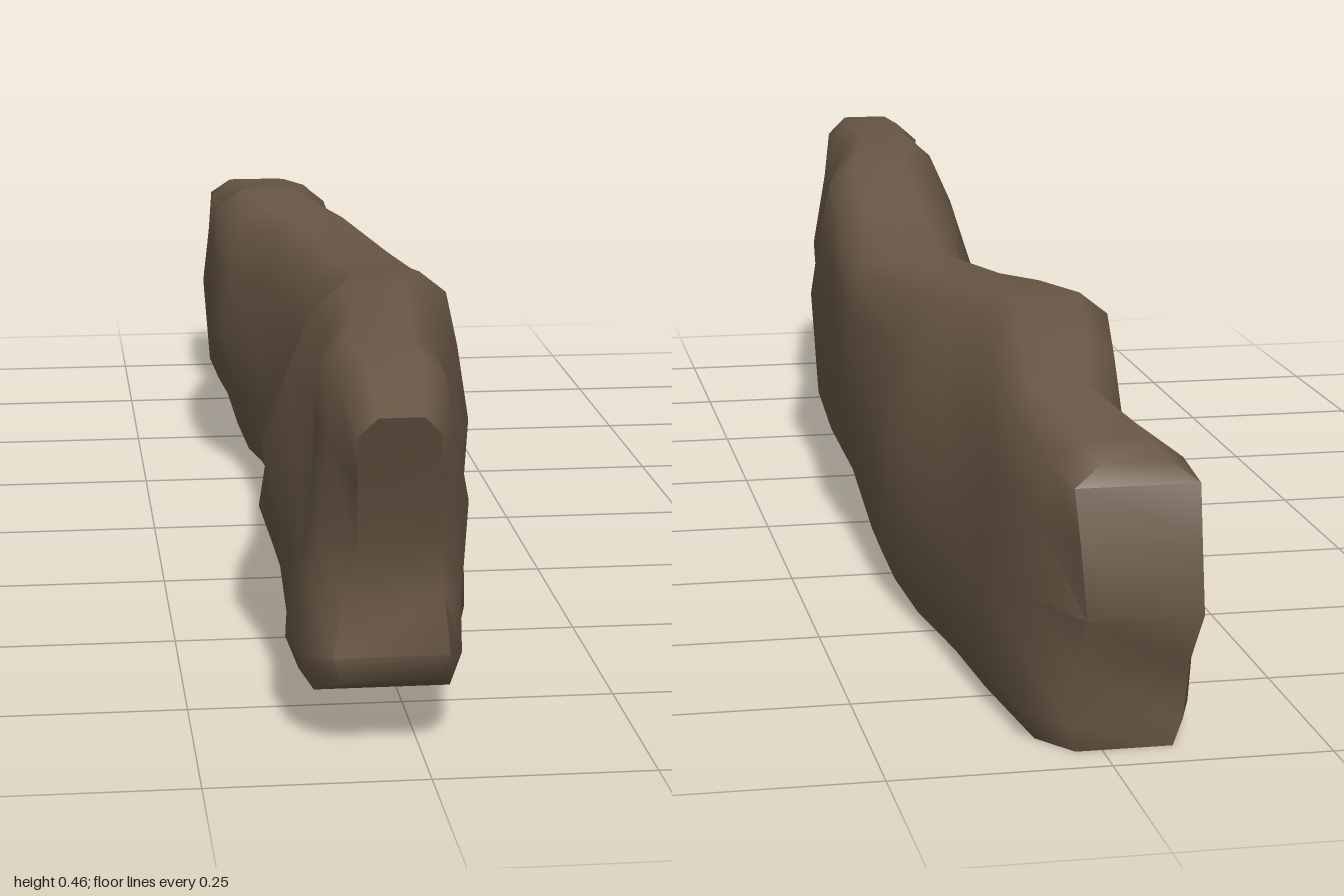
import * as THREE from 'three';
import { toCreasedNormals } from 'three/addons/utils/BufferGeometryUtils.js';

// Stations along z: [z, yBottom, yTop, bottom L/R, middle L/R, top L/R]
const stations = [
  [-0.97, 0.005, 0.335, -0.09, 0.04, -0.10, 0.03, -0.10, 0.04],
  [-0.90, 0.005, 0.345, -0.11, 0.08, -0.12, 0.08, -0.10, 0.05],
  [-0.72, 0.005, 0.365, -0.10, 0.10, -0.10, 0.09, -0.06, 0.06],
  [-0.58, 0.005, 0.39, -0.10, 0.11, -0.12, 0.10, -0.10, 0.05],
  [-0.42, 0.005, 0.41, -0.10, 0.13, -0.145, 0.12, -0.13, 0.03],
  [-0.31, 0.015, 0.405, -0.09, 0.14, -0.135, 0.13, -0.10, 0.05],
  [-0.23, 0.025, 0.40, -0.09, 0.14, -0.09, 0.13, -0.06, 0.07],
  [0.0, 0.05, 0.385, -0.09, 0.13, -0.08, 0.145, -0.03, 0.12],
  [0.20, 0.055, 0.41, -0.12, 0.13, -0.09, 0.13, -0.04, 0.115],
  [0.40, 0.06, 0.445, -0.12, 0.12, -0.13, 0.13, -0.05, 0.10],
  [0.55, 0.062, 0.462, -0.12, 0.10, -0.145, 0.10, -0.08, 0.06],
  [0.70, 0.064, 0.455, -0.13, 0.08, -0.115, 0.07, -0.08, 0.04],
  [0.79, 0.065, 0.45, -0.14, 0.06, -0.11, 0.07, -0.10, 0.035],
  [0.88, 0.07, 0.45, -0.13, 0.05, -0.11, 0.045, -0.09, 0.03],
  [0.93, 0.09, 0.41, -0.10, 0.03, -0.075, 0.02, -0.08, 0.01],
];
const levels = [0, 0.1, 0.3, 0.5, 0.75, 0.93, 1];
// Ragged end faces: z at each level
const backZ = [-0.95, -0.955, -0.96, -1, -0.985, -0.975, -0.965];
const frontZ = [0.92, 0.93, 0.91, 0.93, 0.965, 0.99, 1];

// One closed ring: up the right flank, then down the left flank
function ring(s, index) {
  const [z, y0, y1, bl, br, ml, mr, tl, tr] = s;
  const side = (b, m, t, centreB, centreT) => levels.map((f, k) => {
    const x = [b + (centreB - b) * 0.15, b, (b + m) / 2, m, (m + t) / 2, t, t + (centreT - t) * 0.45][k];
    const pz = index === 0 ? backZ[k] : index === stations.length - 1 ? frontZ[k] : z;
    return [x, y0 + (y1 - y0) * f, pz];
  });
  const cb = (bl + br) / 2, ct = (tl + tr) / 2;
  return [...side(br, mr, tr, cb, ct), ...side(bl, ml, tl, cb, ct).reverse()];
}

function rockGeometry() {
  const rings = stations.map(ring), n = levels.length * 2, index = [];
  for (let i = 0; i < rings.length - 1; i++) {
    for (let j = 0; j < n; j++) {
      const a = i * n + j, b = i * n + (j + 1) % n;
      index.push(a, b, b + n, a, b + n, a + n);
    }
  }
  // End faces, closed by strips between the two flanks
  const last = (rings.length - 1) * n;
  for (let k = 0; k < levels.length - 1; k++) {
    const r0 = k, r1 = k + 1, l0 = n - 1 - k, l1 = n - 2 - k;
    index.push(l0, r1, r0, l0, l1, r1);
    index.push(last + l0, last + r0, last + r1, last + l0, last + r1, last + l1);
  }
  const geometry = new THREE.BufferGeometry();
  geometry.setAttribute('position', new THREE.Float32BufferAttribute(rings.flat(2), 3));
  geometry.setIndex(index);
  return toCreasedNormals(geometry, 1.15);
}

export function createModel() {
  const group = new THREE.Group();
  group.name = 'rockRidge';
  const brown = new THREE.MeshStandardMaterial({ color: 0x6a5846 });
  brown.name = 'earth brown';
  const rock = new THREE.Mesh(rockGeometry(), brown);
  rock.name = 'rockBody';
  group.add(rock);
  return group;
}
